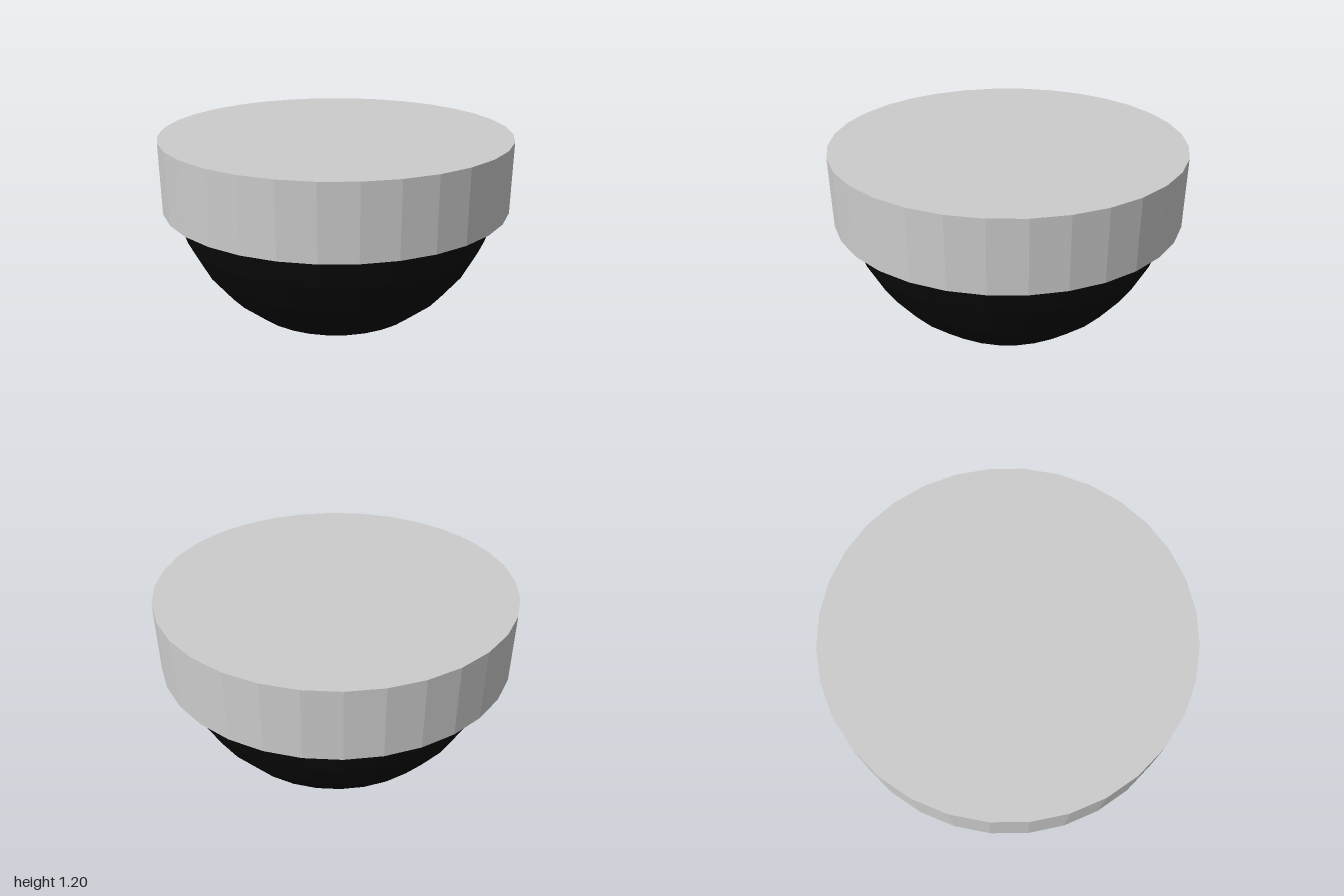
import * as THREE from 'three';

export function createModel() {
  const model = new THREE.Group();
  const add = (name, geometry, color, y) => {
    const material = new THREE.MeshStandardMaterial({ color, flatShading: true });
    const mesh = new THREE.Mesh(geometry, material);
    mesh.name = name;
    mesh.position.y = y;
    model.add(mesh);
  };

  // Flat round mounting base
  add('mountingBase', new THREE.CylinderGeometry(1, 1, 0.4, 32), 0xcccccc, 1.0);

  // Dark dome hanging below, its rim sunk into the base
  const dome = new THREE.SphereGeometry(0.95, 32, 8, 0, Math.PI * 2, Math.PI / 2, Math.PI / 2);
  dome.scale(1, 1 / 0.95, 1);
  add('dome', dome, 0x0a0a0a, 1.0);

  return model;
}
